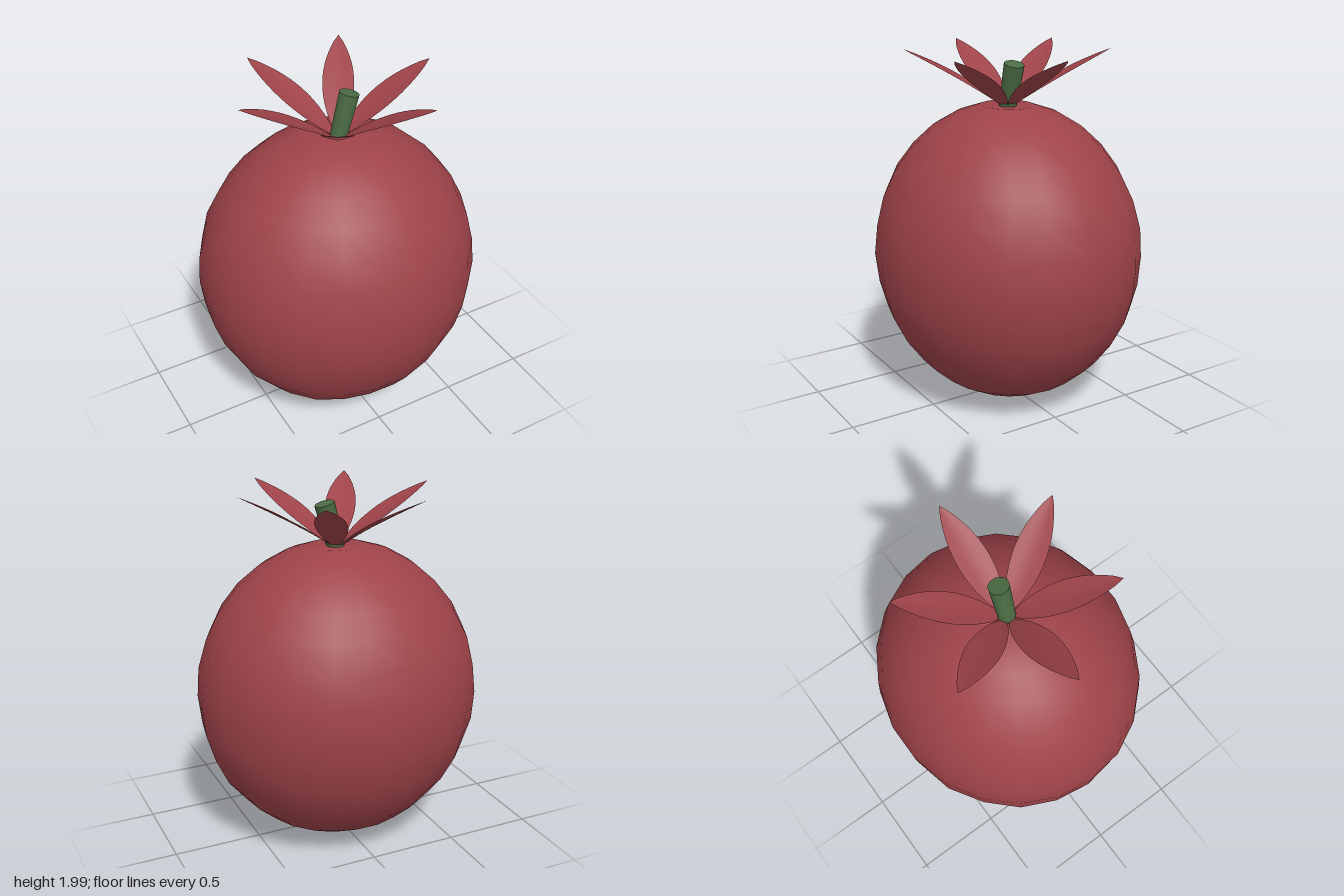
import * as THREE from 'three';
import { mergeVertices } from 'three/addons/utils/BufferGeometryUtils.js';

const red = new THREE.MeshStandardMaterial({ color: 0x9e4349, side: THREE.DoubleSide });
red.name = 'fruit red';
const green = new THREE.MeshStandardMaterial({ color: 0x4a6b43 });
green.name = 'stem green';

// Slightly uneven ellipsoid with a small dimple at the top
function bodyGeometry() {
  const raw = new THREE.SphereGeometry(1, 22, 16);
  raw.deleteAttribute('uv');
  raw.deleteAttribute('normal');
  const geo = mergeVertices(raw, 1e-4);
  const pos = geo.attributes.position;
  const v = new THREE.Vector3();
  for (let i = 0; i < pos.count; i++) {
    v.fromBufferAttribute(pos, i);
    const bump = 1 + 0.008 * Math.sin(9 * v.x + 5 * v.y) * Math.cos(8 * v.z - 6 * v.y);
    const dimple = v.y > 0.995 ? 0.025 : 0;
    pos.setXYZ(i, v.x * 0.8 * bump, 0.86 + v.y * 0.852 - dimple, v.z * 0.738 * bump);
  }
  geo.computeVertexNormals();
  return geo;
}

// Pointed leaf along +x: arched, rising outwards, with a shallow fold
function leafGeometry() {
  const rows = 12, cols = 4;
  const geo = new THREE.PlaneGeometry(1, 1, cols, rows);
  const pos = geo.attributes.position;
  for (let i = 0; i < pos.count; i++) {
    const t = pos.getY(i) + 0.5, s = pos.getX(i) * 2;
    const half = 0.08 * Math.pow(Math.sin(Math.PI * Math.pow(t, 0.95)), 0.8) + 0.012 * (1 - t);
    const r = 0.03 + 0.53 * t;
    const y = 1.69 + 0.31 * Math.pow(t, 0.9) + 0.012 * Math.abs(s) * Math.sin(Math.PI * t);
    pos.setXYZ(i, r, y, s * half);
  }
  geo.computeVertexNormals();
  return geo;
}

export function createModel() {
  const group = new THREE.Group();
  const add = (name, geo, mat, parent = group) => {
    const mesh = new THREE.Mesh(geo, mat);
    mesh.name = name;
    parent.add(mesh);
    return mesh;
  };

  add('body', bodyGeometry(), red);

  // Crown of six leaves
  const crown = new THREE.Group();
  crown.name = 'crown';
  group.add(crown);
  const leaf = leafGeometry();
  for (let i = 0; i < 6; i++) {
    add('leaf', leaf, red, crown).rotation.y = (i * Math.PI) / 3;
  }
  crown.position.x = 0.004;

  // Tilted stem
  const from = new THREE.Vector3(0.005, 1.68, 0);
  const to = new THREE.Vector3(0.072, 1.925, 0);
  const axis = to.clone().sub(from);
  const stem = add('stem', new THREE.CylinderGeometry(0.056, 0.048, axis.length(), 10), green);
  stem.position.copy(from).add(to).multiplyScalar(0.5);
  stem.quaternion.setFromUnitVectors(new THREE.Vector3(0, 1, 0), axis.normalize());

  return group;
}
